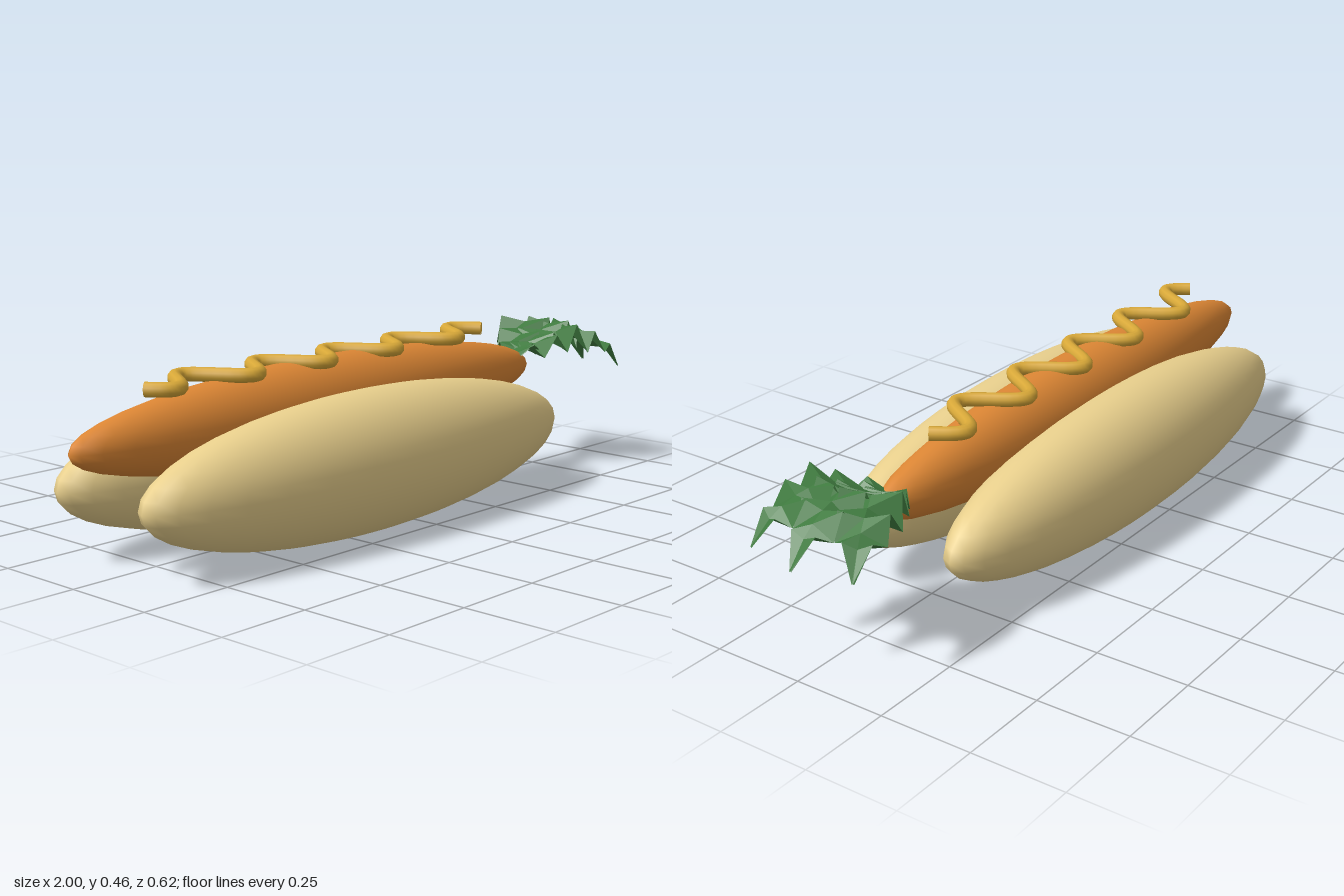
import * as THREE from 'three';

const material = (color, extra = {}) =>
  Object.assign(new THREE.MeshStandardMaterial({ color }), extra);

// Stretched sphere used for the bun halves and the filling
function ellipsoid(name, mat, radii, position) {
  const mesh = new THREE.Mesh(new THREE.SphereGeometry(1, 32, 20), mat);
  mesh.name = name;
  mesh.scale.set(...radii);
  mesh.position.set(...position);
  return mesh;
}

// Arched leaf with a raised midrib and zigzag edges.
// Stations: distance along leaf, half width, midrib height, edge height
function leafGeometry() {
  const stations = [
    [0, 0.02, 0.345, 0.335],
    [0.1, 0.05, 0.36, 0.375],
    [0.2, 0.065, 0.375, 0.34],
    [0.31, 0.066, 0.39, 0.405],
    [0.39, 0.08, 0.405, 0.355],
    [0.48, 0.074, 0.42, 0.435],
    [0.58, 0.08, 0.405, 0.35],
    [0.67, 0.062, 0.395, 0.41],
    [0.77, 0.062, 0.375, 0.345],
    [0.86, 0.036, 0.35, 0.365],
    [1, 0.003, 0.29, 0.288],
  ];
  const points = [];
  const index = [];
  stations.forEach(([s, w, mid, edge], i) => {
    const x = s * 0.355;
    points.push(x, edge, w, x, mid, 0, x, edge, -w);
    if (i === 0) return;
    for (let k = 0; k < 2; k++) {
      const a = (i - 1) * 3 + k;
      const b = i * 3 + k;
      index.push(a, b, a + 1, b, b + 1, a + 1);
    }
  });
  const geometry = new THREE.BufferGeometry();
  geometry.setAttribute('position', new THREE.Float32BufferAttribute(points, 3));
  geometry.setIndex(index);
  geometry.computeVertexNormals();
  return geometry;
}

export function createModel() {
  const model = new THREE.Group();
  model.name = 'carrotHotDog';

  const bread = material(0xe8cf8c);
  const orange = material(0xdc8634);
  const yellow = material(0xd8a838);
  const green = material(0x3f7a3f, { flatShading: true, side: THREE.DoubleSide });

  // Two bun halves
  for (const side of [1, -1]) {
    const name = side > 0 ? 'frontBun' : 'backBun';
    model.add(ellipsoid(name, bread, [0.77, 0.186, 0.155], [-0.15, 0.187, side * 0.154]));
  }

  // Carrot filling
  model.add(ellipsoid('carrot', orange, [0.85, 0.128, 0.111], [-0.15, 0.315, 0]));

  // Wavy mustard line with flat end caps
  const start = -0.785, end = 0.49, waveLength = 0.257;
  const wave = [];
  for (let i = 0; i <= 80; i++) {
    const x = start + ((end - start) * i) / 80;
    wave.push(new THREE.Vector3(x, 0.441, -0.067 * Math.cos((2 * Math.PI * (x + 0.603)) / waveLength)));
  }
  const curve = new THREE.CatmullRomCurve3(wave);
  const mustard = new THREE.Group();
  mustard.name = 'mustard';
  const line = new THREE.Mesh(new THREE.TubeGeometry(curve, 200, 0.0185, 10), yellow);
  line.name = 'mustardLine';
  mustard.add(line);
  for (const t of [0, 1]) {
    const cap = new THREE.Mesh(new THREE.CircleGeometry(0.0185, 10), yellow);
    cap.name = 'mustardEnd';
    cap.position.copy(curve.getPoint(t));
    cap.lookAt(cap.position.clone().addScaledVector(curve.getTangent(t), t ? 1 : -1));
    mustard.add(cap);
  }
  model.add(mustard);

  // Fan of three leaves at the carrot's crown
  const leaves = new THREE.Group();
  leaves.name = 'leaves';
  leaves.position.x = 0.645;
  const geometry = leafGeometry();
  for (const turn of [-1, 0, 1]) {
    const leaf = new THREE.Mesh(geometry, green);
    leaf.name = 'leaf';
    leaf.rotation.y = turn * 0.45;
    leaves.add(leaf);
  }
  model.add(leaves);

  return model;
}
